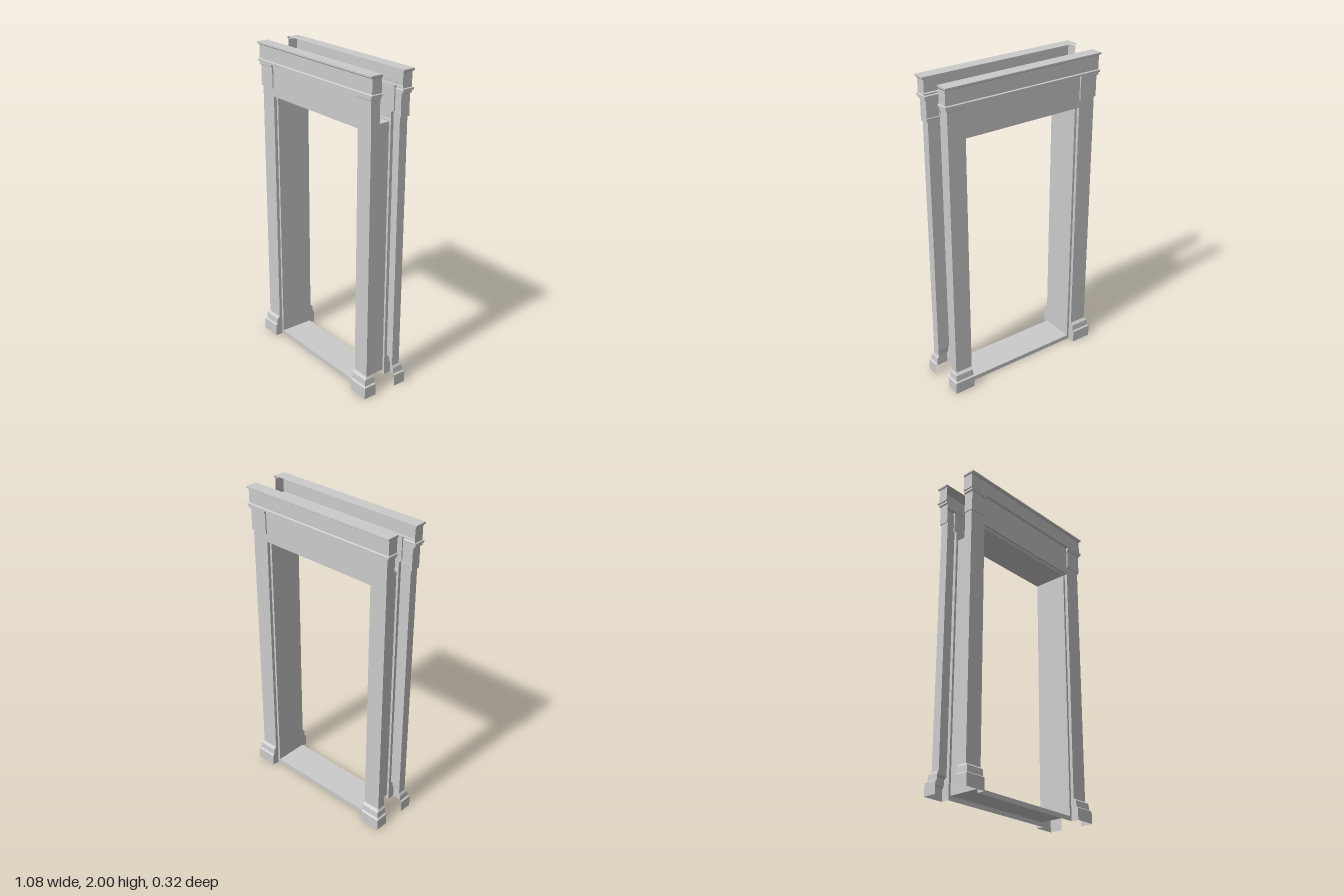
import * as THREE from 'three';

const BACK = 0.075;   // open rear edge of each trim shell
const LIP = 0.11;     // depth of the lining and of the narrow reveal around it
const IN = 0.405;     // inner edge of the posts

const material = new THREE.MeshStandardMaterial({
  color: 0xcccccc, flatShading: true, side: THREE.DoubleSide,
});

function add(parent, name, geometry) {
  const mesh = new THREE.Mesh(geometry, material);
  mesh.name = name;
  parent.add(mesh);
  return mesh;
}

// Hollow moulding: every ring [x, z, y] runs from the outer side, across the
// front face, and returns on the inner side to depth `inner`.
function shell(rings, innerX, inner) {
  const loops = rings.map(([x, z, y]) => {
    const xi = innerX === null ? -x : innerX;
    return [[x, y, BACK], [x, y, z], [xi, y, z], [xi, y, Math.min(inner, z)]];
  });
  const p = [];
  for (let j = 0; j < loops.length - 1; j++) {
    for (let k = 0; k < 3; k++) {
      const a = loops[j][k], b = loops[j + 1][k];
      const c = loops[j + 1][k + 1], d = loops[j][k + 1];
      p.push(...a, ...b, ...c, ...a, ...c, ...d);
    }
  }
  const g = new THREE.BufferGeometry();
  g.setAttribute('position', new THREE.Float32BufferAttribute(p, 3));
  g.computeVertexNormals();
  return g;
}

function rectangle(PathType, x, y0, y1) {
  const r = new PathType();
  r.moveTo(-x, y0);
  r.lineTo(x, y0);
  r.lineTo(x, y1);
  r.lineTo(-x, y1);
  r.closePath();
  return r;
}

// One post: stepped plinth, plain shaft and the block at its head
function createPost() {
  const post = new THREE.Group();
  post.name = 'post';
  add(post, 'plinth', shell([
    [0.54, 0.16, 0], [0.54, 0.16, 0.075], [0.53, 0.15, 0.083],
    [0.527, 0.147, 0.122], [0.518, 0.13, 0.136],
  ], IN, LIP));
  add(post, 'shaft', shell([[0.518, 0.13, 0.136], [0.518, 0.13, 1.73]], IN, LIP));
  add(post, 'headBlock', shell([
    [0.518, 0.13, 1.73], [0.524, 0.138, 1.73], [0.524, 0.138, 1.86],
    [0.532, 0.146, 1.865], [0.532, 0.146, 1.88],
  ], IN, 0.13));
  return post;
}

// Trim for one face of the doorway
function createTrim() {
  const trim = new THREE.Group();
  for (const side of [1, -1]) {
    const post = createPost();
    post.name = side > 0 ? 'leftPost' : 'rightPost';
    post.scale.x = side;
    trim.add(post);
  }

  add(trim, 'frieze', new THREE.PlaneGeometry(2 * IN, 0.2)).position.set(0, 1.78, 0.13);

  const soffit = add(trim, 'friezeSoffit', new THREE.PlaneGeometry(2 * IN, 0.13 - LIP));
  soffit.rotation.x = Math.PI / 2;
  soffit.position.set(0, 1.68, (0.13 + LIP) / 2);

  add(trim, 'cornice', shell([
    [0.524, 0.13, 1.88], [0.54, 0.15, 1.88], [0.54, 0.15, 1.893], [0.534, 0.141, 1.897],
    [0.534, 0.141, 1.982], [0.54, 0.154, 1.99], [0.54, 0.154, 2], [0.54, BACK, 2],
  ], null, BACK));

  // Narrow flat border between the lining and the posts
  const border = rectangle(THREE.Shape, IN, 0, 1.68);
  border.holes.push(rectangle(THREE.Path, 0.39, 0.028, 1.67));
  add(trim, 'revealBorder', new THREE.ShapeGeometry(border)).position.z = LIP;
  return trim;
}

export function createModel() {
  const model = new THREE.Group();
  model.name = 'doorway';

  const front = createTrim();
  front.name = 'frontTrim';
  const back = createTrim();
  back.name = 'backTrim';
  back.rotation.y = Math.PI;
  model.add(front, back);

  // Lining of the opening: two jambs, a head and a threshold
  const lining = new THREE.Group();
  lining.name = 'lining';
  model.add(lining);
  const h = 1.67 - 0.028, midY = (1.67 + 0.028) / 2;
  for (const side of [1, -1]) {
    const jamb = add(lining, side > 0 ? 'leftJamb' : 'rightJamb', new THREE.PlaneGeometry(2 * LIP, h));
    jamb.rotation.y = -side * Math.PI / 2;
    jamb.position.set(side * 0.39, midY, 0);
    const slab = add(lining, side > 0 ? 'head' : 'threshold', new THREE.PlaneGeometry(0.78, 2 * LIP));
    slab.rotation.x = side * Math.PI / 2;
    slab.position.y = midY + side * h / 2;
  }
  return model;
}
